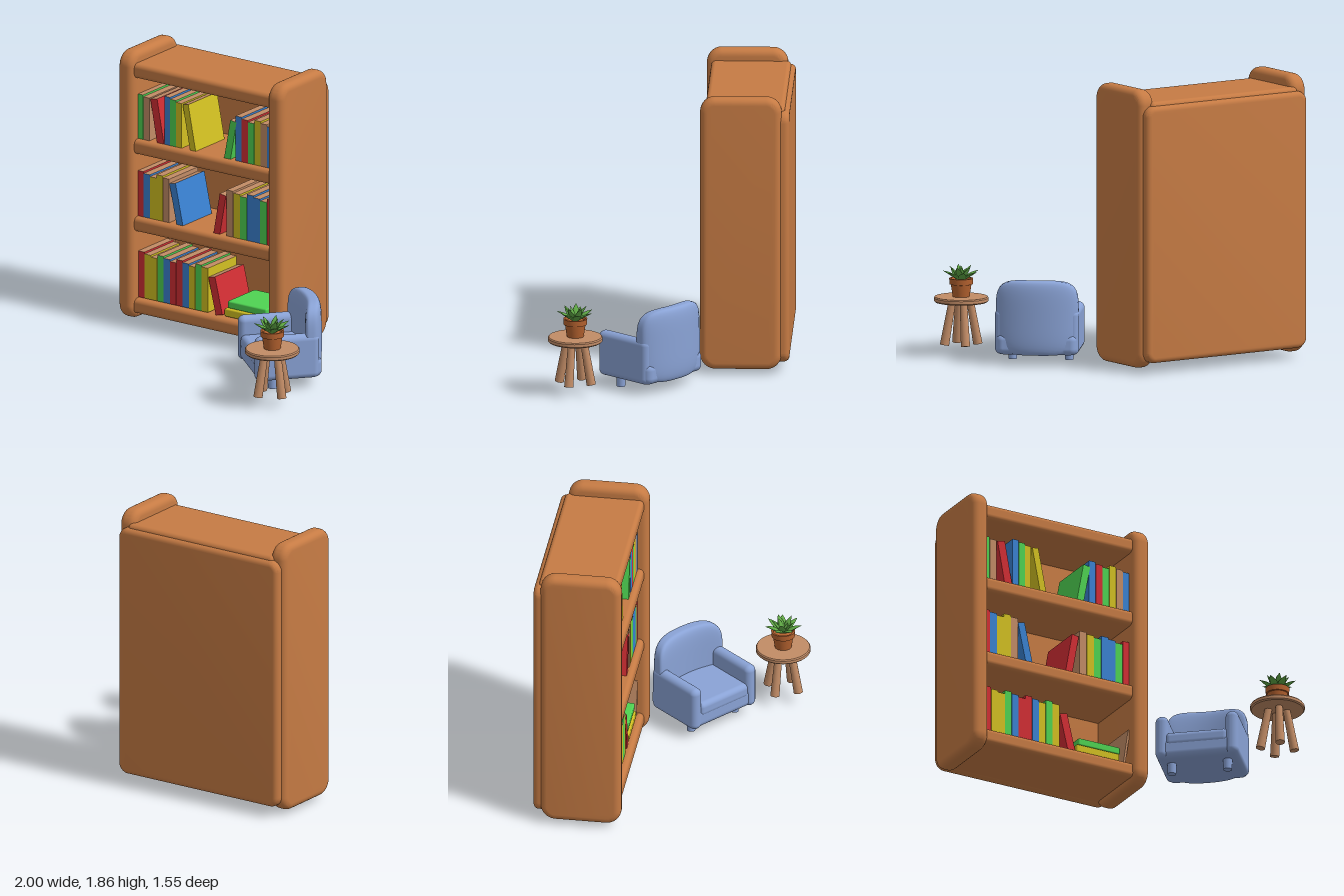
import * as THREE from 'three';
import { mergeVertices, toCreasedNormals } from 'three/addons/utils/BufferGeometryUtils.js';
import { RoundedBoxGeometry } from 'three/addons/geometries/RoundedBoxGeometry.js';

const paint = (name, color) => {
  const m = new THREE.MeshStandardMaterial({ color });
  m.name = name;
  return m;
};

const M = {
  wood: paint('shelf wood', 0xc67b44),
  tan: paint('table wood and pages', 0xc28c66),
  fabric: paint('chair fabric', 0x8aa3d6),
  red: paint('red', 0xd22e34),
  green: paint('green', 0x4fd352),
  blue: paint('blue', 0x3a82d2),
  yellow: paint('yellow', 0xd2c022),
  clay: paint('clay', 0xb5622f),
  leaf: paint('leaf green', 0x5fa845),
};

function add(parent, name, geo, mat, x = 0, y = 0, z = 0) {
  const mesh = new THREE.Mesh(geo, mat);
  mesh.name = name;
  mesh.position.set(x, y, z);
  parent.add(mesh);
  return mesh;
}

function group(parent, name, x = 0, y = 0, z = 0) {
  const g = new THREE.Group();
  g.name = name;
  g.position.set(x, y, z);
  parent.add(g);
  return g;
}

// Rounded slab with soft edges, centred; w and h are the outline, d the thickness
function slab(w, h, d, r, b) {
  const x = w / 2 - r, y = h / 2 - r, c = r - b;
  const s = new THREE.Shape();
  s.absarc(x, y, c, 0, Math.PI / 2);
  s.absarc(-x, y, c, Math.PI / 2, Math.PI);
  s.absarc(-x, -y, c, Math.PI, Math.PI * 1.5);
  s.absarc(x, -y, c, Math.PI * 1.5, Math.PI * 2);
  s.closePath();
  const geo = new THREE.ExtrudeGeometry(s, {
    depth: d - 2 * b, bevelEnabled: true, bevelThickness: b, bevelSize: b, bevelSegments: 6, curveSegments: 8,
  });
  geo.translate(0, 0, b - d / 2);
  return toCreasedNormals(geo, 0.6);
}

// Plump box made from a sphere; bend curves its sides towards +z
function plump(w, h, d, power, bend) {
  let geo = new THREE.SphereGeometry(1, 48, 36);
  geo.deleteAttribute('uv');
  geo.deleteAttribute('normal');
  geo = mergeVertices(geo, 1e-4);
  const p = geo.attributes.position;
  for (let i = 0; i < p.count; i++) {
    const v = [p.getX(i), p.getY(i), p.getZ(i)];
    const n = Math.pow(v.reduce((s, a) => s + Math.pow(Math.abs(a), power), 0), 1 / power);
    const x = v[0] / n * w / 2;
    p.setXYZ(i, x, v[1] / n * h / 2, v[2] / n * d / 2 + bend * x * x);
  }
  geo.computeVertexNormals();
  return geo;
}

// Turned part from a short profile
const turned = (profile, sides) =>
  toCreasedNormals(new THREE.LatheGeometry(profile.map(p => new THREE.Vector2(...p)), sides), 0.5);

// Round bar between two points
function bar(parent, name, a, b, r0, r1, mat) {
  const mesh = add(parent, name, new THREE.CylinderGeometry(r1, r0, a.distanceTo(b), 20), mat);
  mesh.position.copy(a).add(b).multiplyScalar(0.5);
  mesh.quaternion.setFromUnitVectors(new THREE.Vector3(0, 1, 0), b.clone().sub(a).normalize());
}

function buildShelf(root) {
  const g = group(root, 'bookcase');
  const side = slab(0.53, 1.83, 0.12, 0.1, 0.045).rotateY(Math.PI / 2);
  for (const x of [-0.94, 0.26]) add(g, 'sidePanel', side, M.wood, x, 0.945, -0.465);
  add(g, 'backPanel', slab(1.27, 1.69, 0.1, 0.07, 0.035), M.wood, -0.34, 0.915, -0.73);
  for (const y of [0.125, 0.685, 1.215, 1.735])
    add(g, 'shelfBoard', new RoundedBoxGeometry(1.16, 0.1, 0.52, 4, 0.03), M.wood, -0.34, y, -0.49);
}

// One book standing on a shelf, leaning from its foot to its top; the top face shows the pages
function book(parent, color, base, foot, top, thick, height) {
  const c = M[color];
  const mesh = add(parent, color + 'Book', new THREE.BoxGeometry(thick, Math.hypot(height, top - foot), 0.32),
    [c, c, M.tan, c, c, c], (foot + top) / 2, base + height / 2, -0.43);
  mesh.rotation.z = Math.atan2(foot - top, height);
}

// Upright books between two x positions, one letter each
function bookRow(parent, letters, base, x0, x1, height) {
  const names = { R: 'red', G: 'green', B: 'blue', Y: 'yellow', T: 'tan' };
  const step = (x1 - x0) / letters.length;
  [...letters].forEach((letter, i) => {
    const x = x0 + (i + 0.5) * step;
    book(parent, names[letter], base, x, x, step * 0.97, height - 0.012 * (i % 3));
  });
}

function buildBooks(root) {
  const g = group(root, 'books');
  // top shelf
  bookRow(g, 'GT', 1.26, -0.89, -0.79, 0.31);
  book(g, 'red', 1.26, -0.70, -0.755, 0.055, 0.3);
  bookRow(g, 'BGY', 1.26, -0.67, -0.53, 0.335);
  book(g, 'yellow', 1.26, -0.44, -0.50, 0.045, 0.31);
  book(g, 'green', 1.26, -0.165, -0.115, 0.05, 0.27);
  bookRow(g, 'BRGYTB', 1.26, -0.10, 0.205, 0.31);
  // middle shelf
  bookRow(g, 'RBYYT', 0.73, -0.89, -0.63, 0.315);
  book(g, 'blue', 0.73, -0.545, -0.605, 0.05, 0.28);
  book(g, 'red', 0.73, -0.25, -0.20, 0.05, 0.28);
  bookRow(g, 'TYGBBGR', 0.73, -0.17, 0.207, 0.32);
  // bottom shelf
  bookRow(g, 'RYYGBRRBYGY', 0.18, -0.88, -0.32, 0.315);
  book(g, 'red', 0.18, -0.23, -0.29, 0.055, 0.25);
  book(g, 'tan', 0.18, 0.165, 0.20, 0.015, 0.24);
  add(g, 'lowerStackedBook', new RoundedBoxGeometry(0.32, 0.055, 0.32, 2, 0.01), M.yellow, -0.03, 0.207, -0.43);
  add(g, 'upperStackedBook', new RoundedBoxGeometry(0.31, 0.05, 0.3, 2, 0.01), M.green, -0.015, 0.262, -0.43);
}

function buildChair(root) {
  const g = group(root, 'armchair', 0.535, 0, 0.11);
  g.rotation.y = -0.707;
  const f = M.fabric;
  add(g, 'base', new RoundedBoxGeometry(0.53, 0.14, 0.44, 5, 0.045), f, 0, 0.14, -0.005);
  add(g, 'seatCushion', new RoundedBoxGeometry(0.42, 0.1, 0.4, 5, 0.035), f, 0, 0.2, 0.02);
  add(g, 'backrest', plump(0.54, 0.49, 0.115, 4.5, 0.8), f, 0, 0.315, -0.205);
  for (const s of [-1, 1]) {
    add(g, 'armrest', new RoundedBoxGeometry(0.085, 0.3, 0.43, 6, 0.04), f, s * 0.232, 0.22, 0.01);
    add(g, 'chairLeg', new THREE.CylinderGeometry(0.032, 0.028, 0.1, 20), f, s * 0.185, 0.05, 0.095);
  }
}

function buildTable(root) {
  const g = group(root, 'sideTable', 0.822, 0, 0.592);
  add(g, 'tableTop', turned([[0, 0.355], [0.17, 0.355], [0.178, 0.363], [0.178, 0.382], [0.172, 0.39], [0, 0.39]], 40), M.tan);
  for (let i = 0; i < 4; i++) {
    const a = 0.35 + i * Math.PI / 2;
    const at = (r, y) => new THREE.Vector3(Math.cos(a) * r, y, Math.sin(a) * r);
    bar(g, 'tableLeg', at(0.112, 0.075), at(0.06, 0.36), 0.03, 0.024, M.tan);
  }
}

function buildPlant(root) {
  const g = group(root, 'pottedPlant', 0.822, 0.39, 0.592);
  add(g, 'pot', turned([[0, 0], [0.055, 0], [0.067, 0.08], [0.076, 0.082], [0.078, 0.12], [0.066, 0.12], [0.062, 0.105], [0, 0.105]], 32), M.clay);
  // flattened leaf, curving outwards
  const profile = [];
  for (let i = 0; i <= 8; i++)
    profile.push(new THREE.Vector2(0.0005 + 0.025 * Math.sin(Math.PI * (0.1 + 0.9 * i / 8)), 0.125 * i / 8));
  const leaf = new THREE.LatheGeometry(profile, 12);
  leaf.scale(0.35, 1, 1);
  const p = leaf.attributes.position;
  for (let i = 0; i < p.count; i++) p.setX(i, p.getX(i) + 2 * p.getY(i) ** 2);
  leaf.computeVertexNormals();
  // rings of leaves: count, tilt, first angle, size
  for (const [count, tilt, turn, size] of [[7, 0.8, 0.2, 0.98], [5, 0.35, 0.6, 0.9], [2, 0.05, 1, 0.75]])
    for (let i = 0; i < count; i++) {
      const spoke = group(g, 'leafSpoke', 0, 0.105, 0);
      spoke.rotation.y = turn + i * 2 * Math.PI / count;
      const mesh = add(spoke, 'leaf', leaf, M.leaf, 0.012);
      mesh.rotation.z = -tilt;
      mesh.scale.setScalar(size);
    }
}

export function createModel() {
  const root = new THREE.Group();
  root.name = 'readingCorner';
  buildShelf(root);
  buildBooks(root);
  buildChair(root);
  buildTable(root);
  buildPlant(root);
  return root;
}
